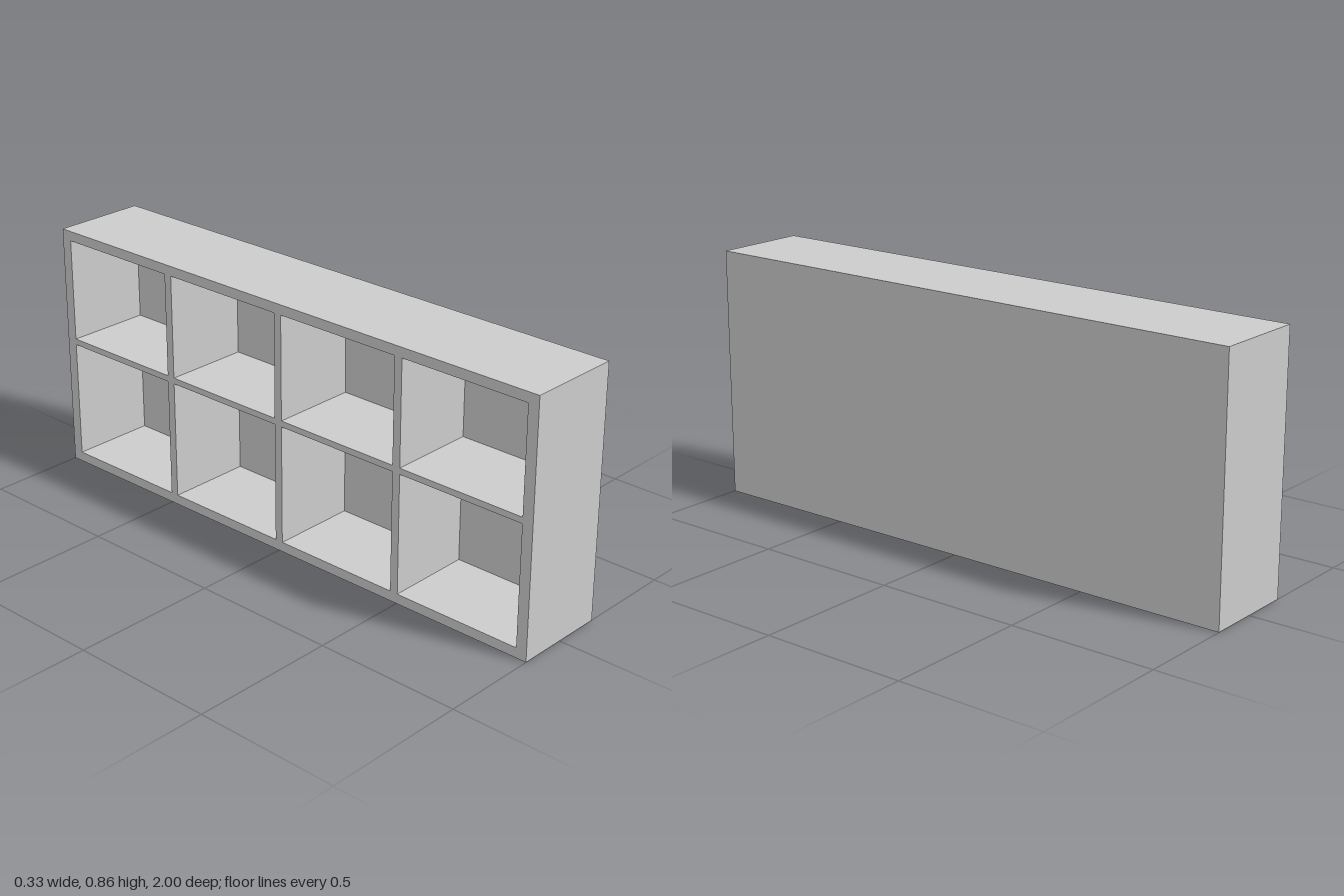
import * as THREE from 'three';

const LENGTH = 2, HEIGHT = 0.857, DEPTH = 0.327;
const END = 0.038, DIVIDER = 0.029, BACK = 0.028;
const COLUMNS = 4;
const ROWS = [[0.034, 0.445], [0.466, 0.823]]; // bottom and top of each row of cells

// Adds a rectangle outline to a shape or path
function rectangle(path, x0, y0, x1, y1) {
  path.moveTo(x0, y0);
  path.lineTo(x1, y0);
  path.lineTo(x1, y1);
  path.lineTo(x0, y1);
  path.closePath();
  return path;
}

export function createModel() {
  const group = new THREE.Group();
  group.name = 'cubeShelf';
  const material = new THREE.MeshStandardMaterial({ color: 0xcccccc });

  // Outer case, uprights and middle shelf: one slab pierced by the cells
  const outline = rectangle(new THREE.Shape(), -LENGTH / 2, 0, LENGTH / 2, HEIGHT);
  const cell = (LENGTH - 2 * END - (COLUMNS - 1) * DIVIDER) / COLUMNS;
  for (let i = 0; i < COLUMNS; i++) {
    const z = -LENGTH / 2 + END + i * (cell + DIVIDER);
    for (const [y0, y1] of ROWS) {
      outline.holes.push(rectangle(new THREE.Path(), z, y0, z + cell, y1));
    }
  }
  const caseGeometry = new THREE.ExtrudeGeometry(outline, { depth: DEPTH - BACK, bevelEnabled: false });
  caseGeometry.rotateY(-Math.PI / 2); // cells open towards -x
  const shelfCase = new THREE.Mesh(caseGeometry, material);
  shelfCase.name = 'shelfCase';
  shelfCase.position.x = DEPTH / 2 - BACK;
  group.add(shelfCase);

  // Closed panel behind the cells
  const backPanel = new THREE.Mesh(new THREE.BoxGeometry(BACK, HEIGHT, LENGTH), material);
  backPanel.name = 'backPanel';
  backPanel.position.set(DEPTH / 2 - BACK / 2, HEIGHT / 2, 0);
  group.add(backPanel);

  return group;
}
